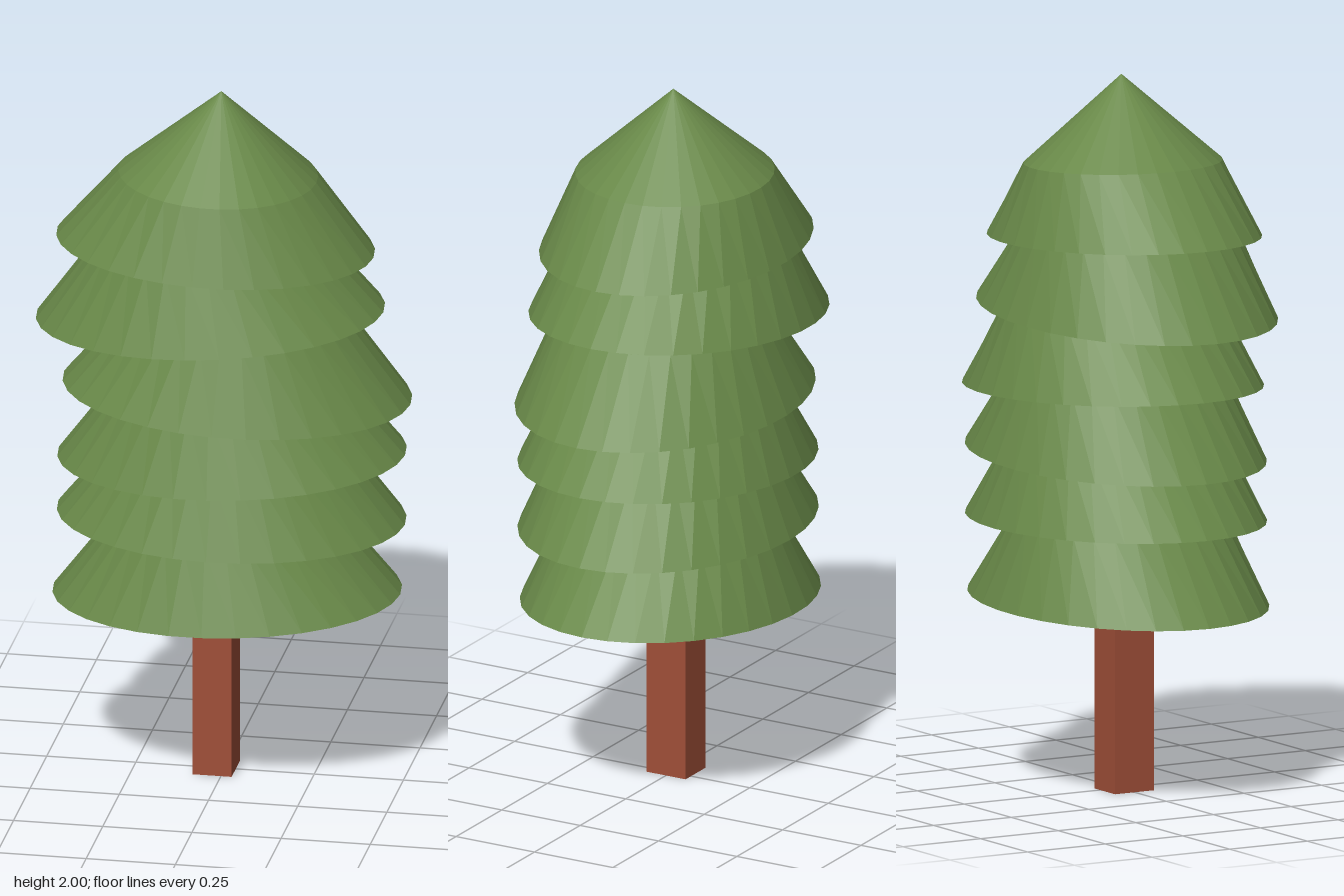
import * as THREE from 'three';

// Rim of each tier, bottom to top: left x, left y, right x, right y, size
const TIERS = [
  [-0.48, 0.516, 0.492, 0.548, 1],
  [-0.468, 0.76, 0.505, 0.754, 1],
  [-0.466, 0.918, 0.505, 0.96, 1],
  [-0.452, 1.143, 0.521, 1.111, 1],
  [-0.526, 1.32, 0.444, 1.378, 1],
  [-0.468, 1.569, 0.415, 1.537, 0.912],
];

// Hollow two-slope cone: oval rim, round shoulder, pointed tip
function tierGeometry() {
  const profile = [[0.389, 0], [0.302, 0.224], [0, 0.49]].map(([r, y]) => new THREE.Vector2(r, y));
  const geometry = new THREE.LatheGeometry(profile, 32);
  const position = geometry.attributes.position;
  for (let i = 0; i < position.count; i++) {
    if (position.getY(i) < 0.01) position.setX(i, position.getX(i) * 1.248);
  }
  geometry.computeVertexNormals();
  return geometry;
}

export function createModel() {
  const tree = new THREE.Group();
  tree.name = 'tree';

  const foliage = new THREE.MeshStandardMaterial({ color: 0x688848, flatShading: true, side: THREE.DoubleSide });
  foliage.name = 'foliage green';
  const bark = new THREE.MeshStandardMaterial({ color: 0xa04f38, flatShading: true });
  bark.name = 'bark brown';

  // Square trunk, running up inside the foliage
  const trunk = new THREE.Mesh(new THREE.BoxGeometry(0.11, 1.84, 0.125), bark);
  trunk.name = 'trunk';
  trunk.position.set(-0.025, 0.92, 0);
  tree.add(trunk);

  // Slightly tilted foliage tiers
  const geometry = tierGeometry();
  TIERS.forEach(([x0, y0, x1, y1, size], i) => {
    const tier = new THREE.Mesh(geometry, foliage);
    tier.name = `foliageTier${i + 1}`;
    tier.position.set((x0 + x1) / 2, (y0 + y1) / 2, 0);
    tier.rotation.z = Math.atan2(y1 - y0, x1 - x0);
    tier.scale.setScalar(size);
    tree.add(tier);
  });

  return tree;
}
